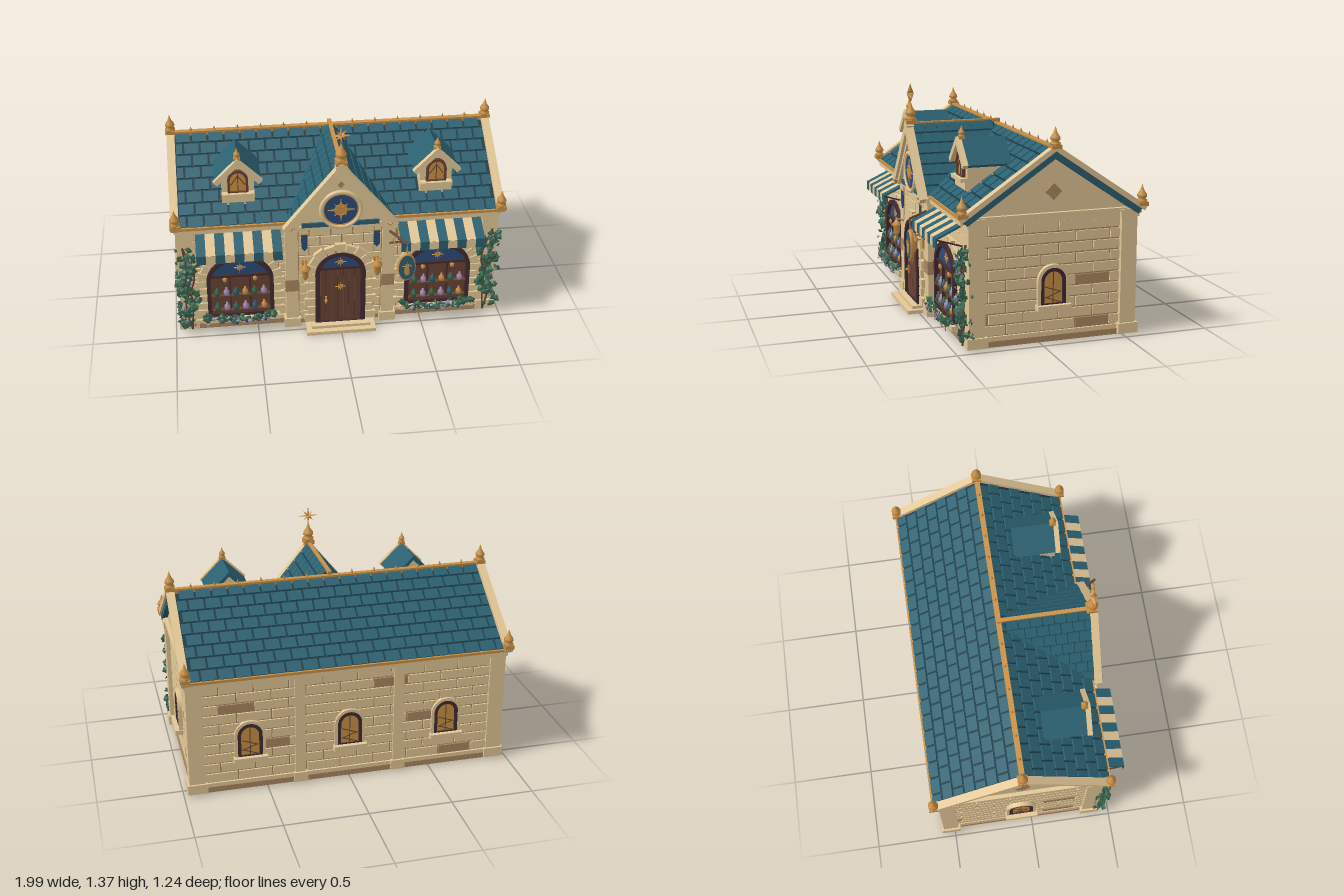
import * as THREE from 'three';
import { mergeGeometries } from 'three/addons/utils/BufferGeometryUtils.js';

const M = {};
for (const [name, color] of Object.entries({
  stone: 0xe2c796, brownStone: 0xab8862, teal: 0x2b6070, darkTeal: 0x1b3a45, gold: 0xca9146,
  wood: 0x684433, darkWood: 0x422a30, blue: 0x2c4b78, leaf: 0x3a6650, lilac: 0xa58bb4,
})) { M[name] = new THREE.MeshStandardMaterial({ color }); M[name].name = name; }

let seed = 7;
const rnd = () => (seed = (seed * 16807) % 2147483647) / 2147483647;
const V = (x, y, z) => new THREE.Vector3(x, y, z);

// --- helpers ---
function make(parent, name, mat, ...geos) {
  const flat = geos.flat().map(g => (g.index ? g.toNonIndexed() : g));
  if (!flat.length) return;
  const mesh = new THREE.Mesh(mergeGeometries(flat), mat);
  mesh.name = name;
  parent.add(mesh);
}
function group(parent, name, x = 0, y = 0, z = 0, ry = 0) {
  const g = new THREE.Group();
  g.name = name; g.position.set(x, y, z); g.rotation.y = ry;
  parent.add(g);
  return g;
}
const box = (w, h, d, x, y, z, rx = 0, ry = 0, rz = 0) =>
  new THREE.BoxGeometry(w, h, d).rotateX(rx).rotateY(ry).rotateZ(rz).translate(x, y, z);
const extrude = (shape, z0, depth) =>
  new THREE.ExtrudeGeometry(shape, { depth, bevelEnabled: false, curveSegments: 16 }).translate(0, 0, z0);
const poly = pts => new THREE.Shape(pts.map(p => new THREE.Vector2(p[0], p[1])));
const rod = (a, b, r) => new THREE.TubeGeometry(new THREE.LineCurve3(a, b), 1, r, 6);
const lathe = (pts, n = 12) => new THREE.LatheGeometry(pts.map(p => new THREE.Vector2(p[0], p[1])), n);

function arch(hw, y0, spring, top) {
  const s = new THREE.Shape();
  s.moveTo(-hw, y0); s.lineTo(hw, y0); s.lineTo(hw, spring);
  s.absellipse(0, spring, hw, top - spring, 0, Math.PI, false);
  s.closePath();
  return s;
}
function archRing(outer, inner) {
  const s = arch(...outer);
  s.holes.push(arch(...inner));
  return s;
}
function star(r, depth, x, y, z) {
  const pts = [];
  for (let i = 0; i < 16; i++) {
    const a = i * Math.PI / 8, q = i % 2 ? r * 0.28 : i % 4 ? r * 0.65 : r;
    pts.push([Math.cos(a) * q, Math.sin(a) * q]);
  }
  return extrude(poly(pts), 0, depth).translate(x, y, z);
}
// running-bond blocks on a wall facing +z; isBrown picks the accent blocks by row and index
function bricks(parent, hw, start, y0, y1, rows, len, z, isBrown) {
  const out = [[], []], h = (y1 - y0) / rows;
  for (let r = 0; r < rows; r++) {
    let x = start - (r % 2 ? len / 2 : 0);
    for (let i = 0; x < hw - 0.01; i++, x += len) {
      const a = Math.max(x, -hw) + 0.004, b = Math.min(x + len, hw) - 0.004;
      if (b - a < 0.015) continue;
      out[isBrown(r, i) ? 1 : 0].push(box(b - a, h - 0.01, 0.012, (a + b) / 2, y0 + (r + 0.5) * h, z + 0.004));
    }
  }
  make(parent, 'wallBlocks', M.stone, out[0]);
  make(parent, 'brownWallBlocks', M.brownStone, out[1]);
}
// boxes lying on a pitched roof whose ridge runs along z
function pitch(hs, yE, yR) {
  const a = Math.atan2(yR - yE, hs), L = Math.hypot(hs, yR - yE);
  return (s, t0, t1, thick, n, z0, z1) => {
    const t = (t0 + t1) / 2 * L;
    return box(L * (t1 - t0), thick, z1 - z0, s * (t * Math.cos(a) + n * Math.sin(a)),
      yR - t * Math.sin(a) + n * Math.cos(a), (z0 + z1) / 2, 0, 0, -s * a);
  };
}
const both = f => [1, -1].flatMap(f);
function tiles(slab, rows, len, z0, z1, gap) {
  return both(s => {
    const out = [];
    for (let r = 0; r < rows; r++)
      for (let z = z0 - (r % 2 ? len / 2 : 0); z < z1 - 0.01; z += len) {
        const a = Math.max(z, z0) + gap / 2, b = Math.min(z + len, z1) - gap / 2;
        if (b - a > 0.01) out.push(slab(s, r / rows + 0.002, (r + 0.86) / rows, 0.014, 0.006, a, b));
      }
    return out;
  });
}
function finial(parent, x, y, z, k = 1) {
  const g = group(parent, 'finial', x, y, z);
  g.scale.setScalar(k);
  make(g, 'finialSpire', M.gold, box(0.058, 0.022, 0.058, 0, 0.011, 0),
    lathe([[0.001, 0.02], [0.028, 0.02], [0.03, 0.032], [0.018, 0.038], [0.029, 0.052], [0.027, 0.064], [0.012, 0.086], [0, 0.122]]));
}
// separate arch stones between two half ellipses
function voussoirs(n, hw, spring, top, w, z, d) {
  const p = (a, e) => [Math.cos(a) * (hw + e), spring + Math.sin(a) * (top - spring + e)];
  return Array.from({ length: n }, (_, i) => {
    const a = (i + 0.05) * Math.PI / n, b = (i + 0.95) * Math.PI / n, e = w + (i % 2 ? 0 : 0.01);
    return extrude(poly([p(a, 0), p(a, e), p(b, e), p(b, 0)]), z, d);
  });
}
function jambs(hw, y0, y1, n, z, d) {
  const h = (y1 - y0) / n;
  return both(s => Array.from({ length: n }, (_, i) => {
    const w = i % 2 ? 0.045 : 0.065;
    return box(w, h - 0.008, d, s * (hw + w / 2), y0 + (i + 0.5) * h, z + d / 2);
  }));
}
function smallWindow(parent, x, y, z, ry) {
  const g = group(parent, 'smallWindow', x, y, z, ry);
  make(g, 'windowSurround', M.stone, extrude(archRing([0.092, 0, 0.14, 0.233], [0.074, 0, 0.14, 0.215]), -0.006, 0.028), box(0.2, 0.03, 0.05, 0, -0.01, 0.022));
  make(g, 'windowFrame', M.darkWood, extrude(archRing([0.075, 0, 0.14, 0.216], [0.054, 0.012, 0.135, 0.193]), 0, 0.02));
  make(g, 'windowGlass', M.gold, extrude(arch(0.056, 0.01, 0.135, 0.195), 0, 0.012));
  make(g, 'windowLeading', M.wood, box(0.005, 0.18, 0.004, 0, 0.1, 0.013),
    [0.03, 0.06, 0.09].map((h, i) => box(0.1, 0.005, 0.004, 0, h, 0.013, 0, 0, i % 2 ? 0.35 : -0.35)));
}
function leaves(n, at, size = 0.014) {
  return Array.from({ length: n }, () => {
    const [x, y, z] = at(), k = size * (0.7 + rnd() * 0.7);
    return new THREE.OctahedronGeometry(1).scale(k, k * 1.1, k * 0.45)
      .rotateX(rnd() * 1.4 - 0.7).rotateY(rnd() * 1.6 - 0.8).rotateZ(rnd() * 6).translate(x, y, z);
  });
}

function shopWindow(root, x) {
  const g = group(root, 'shopWindow', x, 0, 0.421);
  make(g, 'archStones', M.stone, voussoirs(11, 0.2, 0.36, 0.53, 0.045, 0, 0.022), jambs(0.2, 0.1, 0.36, 5, 0, 0.018), box(0.46, 0.03, 0.06, 0, 0.095, 0.03));
  make(g, 'archBacking', M.brownStone, extrude(arch(0.24, 0.1, 0.36, 0.57), 0, 0.006));
  make(g, 'displayBack', M.wood, extrude(arch(0.19, 0.12, 0.36, 0.52), 0.002, 0.01));
  make(g, 'frame', M.darkWood, extrude(archRing([0.2, 0.11, 0.36, 0.532], [0.176, 0.13, 0.36, 0.505]), 0, 0.04),
    box(0.36, 0.014, 0.03, 0, 0.395, 0.02), both(s => box(0.008, 0.26, 0.03, s * 0.06, 0.265, 0.015)));
  make(g, 'shelves', M.wood, [0.15, 0.255].map(y => box(0.35, 0.014, 0.036, 0, y, 0.024)));
  const lunette = new THREE.Shape();
  lunette.absellipse(0, 0.402, 0.172, 0.103, 0, Math.PI, false);
  make(g, 'lunette', M.blue, extrude(lunette, 0.01, 0.008));
  make(g, 'starAndLamps', M.gold, star(0.036, 0.008, 0, 0.447, 0.018),
    both(s => new THREE.SphereGeometry(0.014, 8, 6).scale(1, 1.4, 1).translate(s * 0.09, 0.372, 0.03)));
  const bottles = { leaf: [], lilac: [], teal: [], gold: [] };
  [0.157, 0.262].forEach((y, r) => {
    for (let i = 0; i < 6; i++)
      bottles[['leaf', 'lilac', 'leaf', 'lilac', 'teal', 'gold'][(i + r * 2) % 6]].push(
        lathe([[0, 0], [0.017, 0], [0.018, 0.026], [0.007, 0.036], [0.007, 0.05], [0, 0.05]], 8).translate(-0.14 + i * 0.056, y, 0.028));
  });
  for (const k in bottles) make(g, k + 'Bottles', M[k], bottles[k]);
  // planter
  make(g, 'planterLeaves', M.leaf, leaves(75, () => { const u = rnd() * 2 - 1; return [u * 0.22, 0.085 + rnd() * 0.03 + u * u * 0.035, 0.04 + rnd() * 0.05]; }, 0.018));
  make(g, 'planterFlowers', M.lilac, leaves(16, () => [(rnd() * 2 - 1) * 0.21, 0.09 + rnd() * 0.05, 0.088 + rnd() * 0.012], 0.011));
  // striped awning
  const stripes = [[], []], w = 0.5 / 9, a = Math.atan2(0.065, 0.14);
  for (let i = 0; i < 9; i++) {
    const sx = (i - 4) * w;
    stripes[i % 2].push(box(w, 0.01, 0.155, sx, 0.652, 0.08, a), box(w, 0.05 + (i % 2 ? 0 : 0.008), 0.008, sx, 0.596, 0.15));
  }
  make(g, 'awningTealStripes', M.teal, stripes[0]);
  make(g, 'awningPaleStripes', M.stone, stripes[1]);
  make(g, 'awningArms', M.darkWood, both(s => rod(V(s * 0.245, 0.57, 0), V(s * 0.245, 0.615, 0.145), 0.005)));
}

function dormer(root, x) {
  const g = group(root, 'dormer', x), slab = pitch(0.135, 0.99, 1.125);
  make(g, 'dormerRoof', M.teal, both(s => slab(s, 0, 1, 0.02, -0.01, 0.09, 0.355)));
  make(g, 'dormerCoping', M.stone, both(s => slab(s, -0.03, 1.02, 0.032, -0.008, 0.348, 0.378)));
  make(g, 'dormerBody', M.stone, extrude(poly([[-0.095, 0.8], [0.095, 0.8], [0.095, 0.995], [0, 1.1], [-0.095, 0.995]]), 0.1, 0.24),
    box(0.19, 0.022, 0.04, 0, 0.9, 0.36), box(0.19, 0.05, 0.02, 0, 0.87, 0.345));
  make(g, 'dormerFrame', M.wood, extrude(archRing([0.06, 0.91, 0.985, 1.055], [0.046, 0.918, 0.985, 1.04]), 0.34, 0.02));
  make(g, 'dormerGlass', M.gold, extrude(arch(0.047, 0.915, 0.985, 1.042), 0.34, 0.008));
  make(g, 'dormerLeading', M.wood, box(0.005, 0.12, 0.004, 0, 0.978, 0.35), both(s => box(0.005, 0.07, 0.004, s * 0.022, 0.985, 0.35, 0, 0, s * 0.6)));
  finial(g, 0, 1.12, 0.345, 0.65);
}

export function createModel() {
  const root = new THREE.Group();
  root.name = 'shop';
  const CZ = -0.07;
  // walls, plinth and cornice
  make(root, 'wallCore', M.brownStone, box(1.86, 0.72, 0.96, 0, 0.38, CZ), box(1.9, 0.034, 0.99, 0, 0.026, CZ));
  make(root, 'plinthAndCornice', M.stone, box(1.885, 0.022, 0.985, 0, 0.055, CZ), box(1.91, 0.03, 1.0, 0, 0.712, CZ), box(1.93, 0.022, 1.02, 0, 0.738, CZ));
  const sideBrown = (r, i) => (r % 4 === 0 && r < 8 && i === 3) || (r === 1 && i === 0);
  const longBrown = (r, i) => (r * 5 + i * 3) % 17 === 4;
  for (const [n, hw, start, x, z, ry, brown] of [['front', 0.88, -0.88, 0, 0.41, 0, longBrown], ['back', 0.88, -0.88, 0, -0.55, Math.PI, longBrown],
    ['left', 0.42, -0.478, 0.93, CZ, Math.PI / 2, sideBrown], ['right', 0.42, -0.478, -0.93, CZ, -Math.PI / 2, sideBrown]])
    bricks(group(root, n + 'Wall', x, 0, z, ry), hw, start, 0.068, 0.698, 10, 0.206, 0, brown);
  // corner, back and entrance piers
  const piers = [];
  const pier = (x, z, w, d) => piers.push(box(w, 0.7, d, x, 0.38, z), box(w + 0.024, 0.06, d + 0.024, x, 0.046, z), box(w + 0.016, 0.045, d + 0.016, x, 0.718, z));
  for (const s of [1, -1]) {
    pier(s * 0.917, 0.375, 0.095, 0.095); pier(s * 0.917, -0.522, 0.095, 0.095);
    pier(s * 0.3, -0.553, 0.06, 0.035); pier(s * 0.29, 0.44, 0.075, 0.07);
  }
  make(root, 'piers', M.stone, piers);
  make(root, 'brownPierBlocks', M.brownStone, both(s => box(0.079, 0.08, 0.07, s * 0.29, 0.312, 0.443)));
  for (const x of [-0.6, 0, 0.6]) smallWindow(root, x, 0.222, -0.553, Math.PI);
  for (const s of [1, -1]) {
    smallWindow(root, s * 0.943, 0.222, CZ, s * Math.PI / 2);
    shopWindow(root, s * 0.6);
    dormer(root, s * 0.585);
  }

  // main roof, built with its ridge along local z
  const roof = group(root, 'mainRoof', 0, 0, CZ, Math.PI / 2), slab = pitch(0.53, 0.74, 1.1);
  make(roof, 'gableWalls', M.stone, extrude(poly([[-0.48, 0.735], [0.48, 0.735], [0, 1.06]]), -0.942, 1.884),
    both(s => box(0.014, 0.028, 1.9, s * 0.526, 0.722, 0)));
  make(roof, 'roofBoards', M.darkTeal, both(s => slab(s, 0, 1, 0.03, -0.016, -0.945, 0.945)));
  make(roof, 'roofTiles', M.teal, tiles(slab, 8, 0.098, -0.94, 0.94, 0.013));
  make(roof, 'verges', M.teal, both(s => both(e => slab(s, 0, 0.99, 0.034, -0.025, e * 0.955 - 0.02, e * 0.955 + 0.02))));
  make(roof, 'copings', M.stone, both(s => both(e => slab(s, -0.02, 1.015, 0.028, 0.008, e * 0.963 - 0.024, e * 0.963 + 0.024))));
  make(roof, 'ridgeAndGutters', M.gold, box(0.032, 0.032, 1.92, 0, 1.1, 0), both(s => box(0.016, 0.016, 1.88, s * 0.53, 0.744, 0)),
    Array.from({ length: 13 }, (_, i) => new THREE.ConeGeometry(0.01, 0.03, 6).translate(0, 1.128, (i - 6) * 0.14)));
  make(roof, 'gableDiamonds', M.brownStone, both(e => box(0.068, 0.068, 0.016, 0, 0.865, e * 0.945, 0, 0, Math.PI / 4)));
  for (const s of [1, -1]) {
    finial(root, s * 0.963, 1.105, CZ);
    finial(root, s * 0.963, 0.755, 0.46); finial(root, s * 0.963, 0.755, -0.595);
  }

  // entrance bay and its gable
  const bay = group(root, 'entranceBay'), bs = pitch(0.32, 0.735, 1.125);
  make(bay, 'bayCore', M.brownStone, box(0.6, 0.715, 0.08, 0, 0.378, 0.415));
  bricks(bay, 0.25, -0.25, 0.05, 0.71, 10, 0.13, 0.455, () => false);
  make(bay, 'bayGableWall', M.stone, extrude(poly([[-0.29, 0.73], [0.29, 0.73], [0, 1.08]]), 0.2, 0.278), box(0.6, 0.022, 0.08, 0, 0.712, 0.44));
  make(bay, 'bayRoofBoards', M.darkTeal, both(s => bs(s, 0, 1, 0.03, -0.016, -0.04, 0.478)));
  make(bay, 'bayRoofTiles', M.teal, tiles(bs, 7, 0.072, -0.03, 0.476, 0.005));
  make(bay, 'bayCopings', M.stone, both(s => [bs(s, -0.04, 1.03, 0.045, -0.008, 0.474, 0.52), bs(s, 0.02, 0.98, 0.022, -0.042, 0.474, 0.502)]));
  make(bay, 'bayBand', M.teal, box(0.46, 0.028, 0.012, 0, 0.735, 0.484));
  make(bay, 'bayRidge', M.gold, box(0.024, 0.02, 0.56, 0, 1.13, 0.2), both(s => new THREE.OctahedronGeometry(0.028).translate(s * 0.295, 0.735, 0.505)));
  make(bay, 'gableStone', M.brownStone, box(0.03, 0.03, 0.012, 0, 0.995, 0.482, 0, 0, Math.PI / 4));
  finial(bay, 0, 1.13, 0.485, 1.15);
  make(bay, 'roofStar', M.gold, [0, 1, 2, 3].map(i => new THREE.OctahedronGeometry(1)
    .scale(0.009, i % 2 ? 0.042 : 0.062, 0.022).rotateZ(i * Math.PI / 4).translate(0, 1.312, 0.485)));
  // medallion
  const disc = (r, d, z) => new THREE.CylinderGeometry(r, r, d, 32).rotateX(Math.PI / 2).translate(0, 0.835, z);
  make(bay, 'medallionRing', M.stone, new THREE.TorusGeometry(0.116, 0.013, 8, 36).translate(0, 0.835, 0.492));
  make(bay, 'medallionDisc', M.blue, disc(0.112, 0.02, 0.484));
  make(bay, 'medallionStar', M.gold, star(0.08, 0.008, 0, 0.835, 0.493), new THREE.TorusGeometry(0.102, 0.004, 6, 32).translate(0, 0.835, 0.495),
    new THREE.TorusGeometry(0.034, 0.005, 6, 24).translate(0, 0.835, 0.498));

  // door
  const door = group(root, 'door', 0, 0, 0.466);
  make(door, 'doorArchStones', M.stone, voussoirs(9, 0.152, 0.39, 0.535, 0.05, 0, 0.026), jambs(0.152, 0.04, 0.39, 6, 0, 0.02));
  make(door, 'doorFrame', M.darkWood, extrude(archRing([0.152, 0.04, 0.39, 0.536], [0.125, 0.045, 0.39, 0.512]), 0, 0.032),
    box(0.26, 0.014, 0.025, 0, 0.424, 0.013), extrude(arch(0.13, 0.04, 0.39, 0.515), 0, 0.006));
  make(door, 'doorPlanks', M.wood, Array.from({ length: 7 }, (_, i) => box(0.032, 0.37, 0.012, (i - 3) * 0.035, 0.232, 0.012)));
  const fan = new THREE.Shape();
  fan.absellipse(0, 0.432, 0.118, 0.078, 0, Math.PI, false);
  make(door, 'fanlight', M.blue, extrude(fan, 0.006, 0.008));
  make(door, 'doorFittings', M.gold, star(0.032, 0.008, 0, 0.292, 0.018), star(0.035, 0.006, 0, 0.465, 0.014),
    box(0.012, 0.05, 0.01, -0.088, 0.2, 0.021), new THREE.SphereGeometry(0.01, 8, 6).translate(-0.088, 0.2, 0.032));
  make(door, 'doorSteps', M.stone, box(0.42, 0.022, 0.12, 0, 0.013, 0.045), box(0.36, 0.02, 0.07, 0, 0.032, 0.035));
  // lanterns and banners beside the door
  for (const s of [1, -1]) {
    const g = group(root, 'lantern', s * 0.215, 0, 0.5);
    make(g, 'lanternMetal', M.gold, lathe([[0, 0.38], [0.012, 0.395], [0.02, 0.41], [0.022, 0.455], [0.034, 0.462], [0.014, 0.482], [0, 0.51]], 6).translate(0, 0, 0.03),
      rod(V(0, 0.48, -0.03), V(0, 0.5, 0.03), 0.006), box(0.03, 0.08, 0.012, 0, 0.45, -0.025));
    make(g, 'banner', M.blue, extrude(poly([[-0.018, 0.585], [0, 0.565], [0.018, 0.585], [0.018, 0.675], [-0.018, 0.675]]), -0.015, 0.008));
    make(g, 'bannerRod', M.gold, rod(V(-0.026, 0.678, -0.012), V(0.026, 0.678, -0.012), 0.006));
  }
  // hanging sign
  const sign = group(root, 'hangingSign', 0.38, 0.475, 0.595);
  const oval = (r, d) => new THREE.CylinderGeometry(r, r, d, 24).rotateX(Math.PI / 2).scale(1, 1.75, 1);
  make(sign, 'signBoard', M.teal, oval(0.048, 0.024));
  make(sign, 'signTrim', M.gold, new THREE.TorusGeometry(0.049, 0.006, 8, 28).scale(1, 1.75, 2),
    both(s => star(0.03, 0.006, 0, 0.012, s * 0.014 - 0.003)), oval(0.016, 0.032).translate(0, -0.025, 0),
    rod(V(0, 0.08, 0), V(0, 0.165, 0), 0.004), new THREE.TorusGeometry(0.022, 0.005, 6, 16).translate(-0.05, 0.14, -0.08));
  make(sign, 'signBracket', M.wood, rod(V(-0.09, 0.18, -0.13), V(0.005, 0.158, 0.01), 0.008), rod(V(-0.09, 0.09, -0.13), V(-0.02, 0.16, -0.03), 0.006));

  // climbing ivy at the front corners
  for (const s of [1, -1]) {
    const stem = k => new THREE.TubeGeometry(new THREE.CatmullRomCurve3([V(s * 0.9, 0.02, 0.44), V(s * (0.93 - k), 0.2, 0.44), V(s * (0.87 + k), 0.4, 0.44), V(s * 0.93, 0.6, 0.43)]), 16, 0.006, 5);
    make(root, 'ivyStems', M.wood, stem(0), stem(0.04));
    make(root, 'ivyLeaves', M.leaf, leaves(95, () => {
      const t = rnd(), c = 0.91 + 0.02 * Math.sin(t * 14);
      return [s * (c + (rnd() - 0.5) * 0.09), 0.06 + t * 0.53, 0.43 + rnd() * 0.05];
    }, 0.021), leaves(18, () => [s * 0.968, 0.05 + rnd() * 0.55, 0.4 + rnd() * 0.05], 0.015));
    make(root, 'ivyFlowers', M.lilac, leaves(8, () => [s * (0.88 + rnd() * 0.08), 0.05 + rnd() * 0.5, 0.485], 0.011));
  }
  return root;
}
